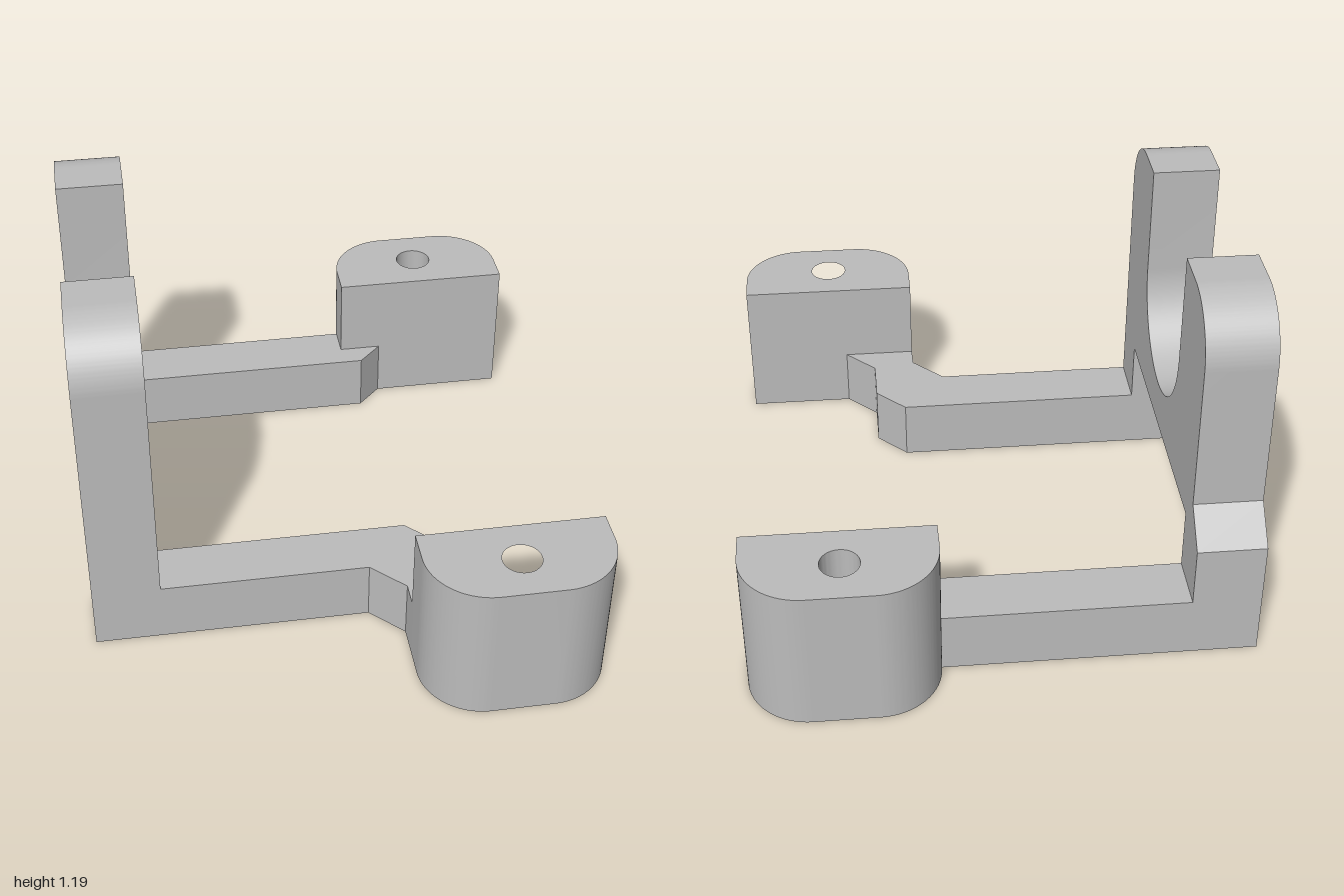
import * as THREE from 'three';
import { toCreasedNormals } from 'three/addons/utils/BufferGeometryUtils.js';

const grey = new THREE.MeshStandardMaterial({ color: 0xbcbcbc });
grey.name = 'plain grey';

function extrude(shape, depth, name) {
  const raw = new THREE.ExtrudeGeometry(shape, { depth, bevelEnabled: false, curveSegments: 24 });
  const mesh = new THREE.Mesh(toCreasedNormals(raw, Math.PI / 6), grey);
  mesh.name = name;
  return mesh;
}

// Footprint drawn as (x, -z), raised from the ground
function raise(shape, height, name) {
  const mesh = extrude(shape, height, name);
  mesh.geometry.rotateX(-Math.PI / 2);
  return mesh;
}

function polygon(points) {
  return new THREE.Shape(points.map(([x, z]) => new THREE.Vector2(x, -z)));
}

// Screw lug: one flat side, two rounded corners, a through hole; side is +1 for front
function lug(side, name) {
  const s = new THREE.Shape();
  const d = -side, r = 0.2, x0 = 0.2, x1 = 0.805;
  s.moveTo(x0, d * 0.697);
  s.lineTo(x1, d * 0.697);
  s.lineTo(x1, d * (1 - r));
  s.absarc(x1 - r, d * (1 - r), r, 0, d * Math.PI / 2, d < 0);
  s.lineTo(x0 + r, d);
  s.absarc(x0 + r, d * (1 - r), r, d * Math.PI / 2, d * Math.PI, d < 0);
  s.closePath();
  const hole = new THREE.Path();
  hole.absarc(0.5, d * 0.847, 0.062, 0, Math.PI * 2, true);
  s.holes.push(hole);
  return raise(s, 0.49, name);
}

// Upright yoke drawn as (-z, y): two legs, U-shaped cradle, rounded shoulders
function yoke() {
  const s = new THREE.Shape();
  const top = 1.19, r = 0.195, c = 0.09, slot = 0.277;
  s.moveTo(-0.515, 0);
  s.lineTo(-0.33, 0);
  s.lineTo(-0.33, 0.41);
  s.lineTo(0.615, 0.41);
  s.lineTo(0.615, 0);
  s.lineTo(0.803, 0);
  s.lineTo(0.803, 0.405);
  s.lineTo(0.698, 0.51);
  s.lineTo(0.698, top - r);
  s.absarc(0.698 - r, top - r, r, 0, Math.PI / 2, false);
  s.lineTo(c + slot, top);
  s.lineTo(c + slot, 0.827);
  s.absarc(c, 0.827, slot, 0, -Math.PI, true);
  s.lineTo(c - slot, top);
  s.lineTo(-0.515 + r, top);
  s.absarc(-0.515 + r, top - r, r, Math.PI / 2, Math.PI, false);
  s.closePath();
  const mesh = extrude(s, 0.22, 'cradleYoke');
  mesh.geometry.rotateY(Math.PI / 2);
  mesh.position.x = -0.805;
  return mesh;
}

export function createModel() {
  const model = new THREE.Group();
  model.name = 'cradleBracket';

  // Front arm jogs outwards to its lug
  const frontArm = polygon([
    [-0.585, 0.515], [0.095, 0.515], [0.2, 0.62], [0.2, 0.697], [0.447, 0.697],
    [0.345, 0.595], [0.345, 0.43], [0.245, 0.33], [-0.585, 0.33],
  ]);
  // Back arm runs straight into its lug
  const backArm = polygon([
    [-0.585, -0.615], [0.265, -0.615], [0.347, -0.697], [0.2, -0.697],
    [0.2, -0.803], [-0.585, -0.803],
  ]);

  model.add(
    yoke(),
    raise(frontArm, 0.205, 'frontArm'),
    raise(backArm, 0.205, 'backArm'),
    lug(1, 'frontLug'),
    lug(-1, 'backLug'),
  );
  return model;
}
